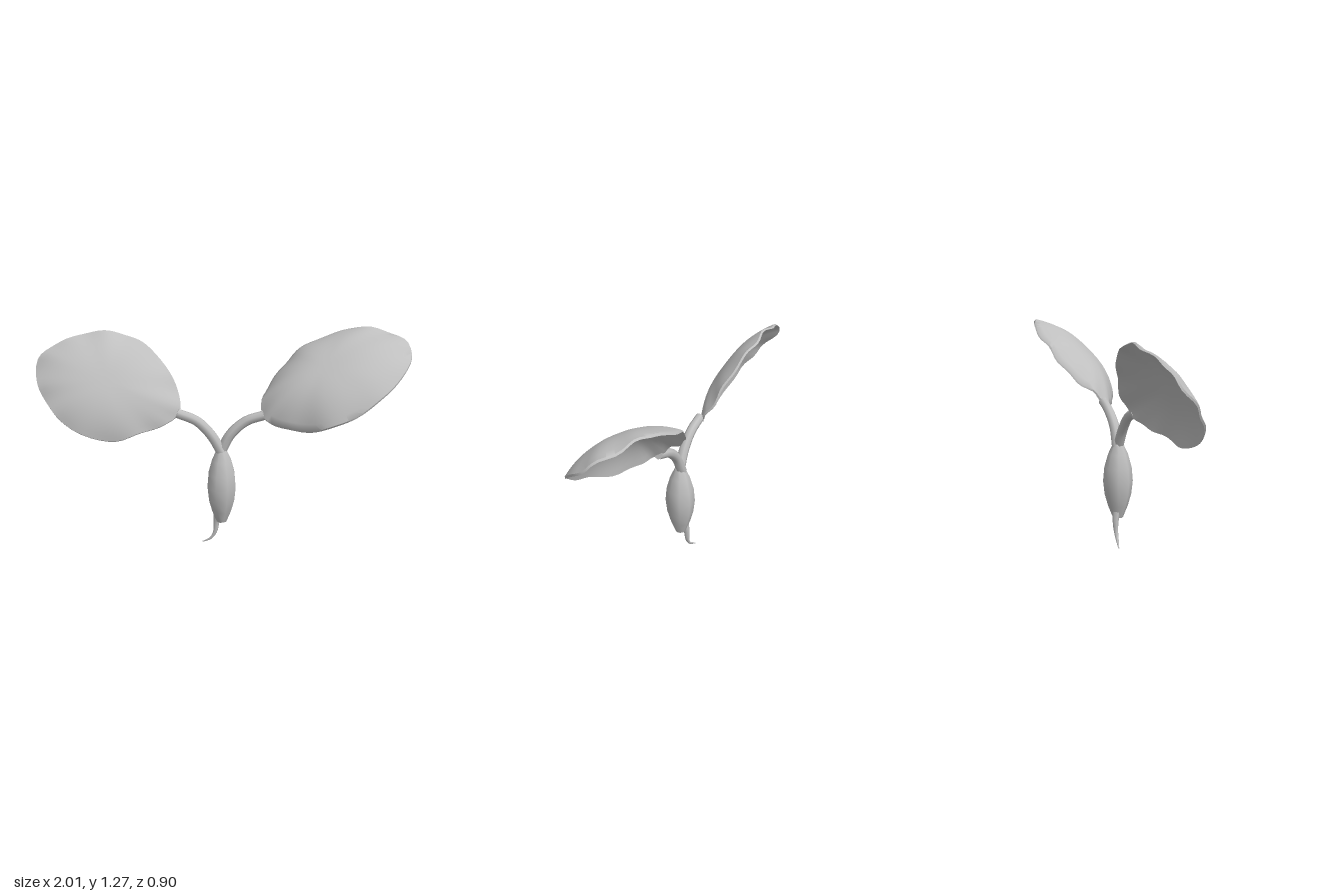
import * as THREE from 'three';
import { toCreasedNormals } from 'three/addons/utils/BufferGeometryUtils.js';

const V = (p) => new THREE.Vector3(...p);

// Tube along a curve whose radius changes evenly from r0 to r1
function taperedTube(points, r0, r1, sides) {
  const steps = 16;
  const curve = new THREE.CatmullRomCurve3(points.map(V));
  const geo = new THREE.TubeGeometry(curve, steps, 1, sides, false);
  const pos = geo.attributes.position;
  const v = new THREE.Vector3();
  for (let i = 0; i < pos.count; i++) {
    const t = Math.floor(i / (sides + 1)) / steps;
    const c = curve.getPointAt(t);
    v.fromBufferAttribute(pos, i).sub(c).multiplyScalar(THREE.MathUtils.lerp(r0, r1, t)).add(c);
    pos.setXYZ(i, v.x, v.y, v.z);
  }
  return { geo, curve };
}

// Thin domed blade with a ruffled edge; the outline runs counter-clockwise seen from the front
function leafGeometry(outline, dome, thickness) {
  const N = 64, R = 12;
  const edge = new THREE.CatmullRomCurve3(outline.map(V), true).getPoints(N).slice(0, N);
  const centre = edge.reduce((s, p) => s.add(p), new THREE.Vector3()).divideScalar(N);
  const n = new THREE.Vector3();
  edge.forEach((p, i) => {
    const a = p.clone().sub(centre), b = edge[(i + 1) % N].clone().sub(centre);
    n.add(a.cross(b));
  });
  n.normalize();
  // split the edge into its flat part and its height off the leaf plane
  const height = edge.map((p) => p.clone().sub(centre).dot(n));
  const flat = edge.map((p, i) => p.clone().addScaledVector(n, -height[i]));

  const pos = [], idx = [];
  for (const drop of [0, thickness]) {
    for (let j = 0; j <= R; j++) {
      const r = j / R;
      for (let i = 0; i < N; i++) {
        const a = (i / N) * Math.PI * 2;
        const ruffle = 0.006 * Math.sin(11 * a + Math.sin(2 * a)) * r ** 6;
        const lift = dome * (1 - r ** 2.6) + height[i] * r ** 3 + ruffle - drop;
        const p = centre.clone().lerp(flat[i], r).addScaledVector(n, lift);
        pos.push(p.x, p.y, p.z);
      }
    }
  }
  const at = (side, j, i) => (side * (R + 1) + j) * N + (i % N);
  for (let i = 0; i < N; i++) {
    for (let j = 0; j < R; j++) {
      for (const s of [0, 1]) {
        const a = at(s, j, i), b = at(s, j + 1, i), c = at(s, j + 1, i + 1), d = at(s, j, i + 1);
        const tris = j === 0 ? [[a, b, c]] : [[a, b, c], [a, c, d]];
        tris.forEach(([x, y, z]) => (s ? idx.push(x, z, y) : idx.push(x, y, z)));
      }
    }
    // rim joining the upper and lower skins
    const a = at(0, R, i), b = at(0, R, i + 1), c = at(1, R, i + 1), d = at(1, R, i);
    idx.push(a, d, c, a, c, b);
  }
  const geo = new THREE.BufferGeometry();
  geo.setAttribute('position', new THREE.Float32BufferAttribute(pos, 3));
  geo.setIndex(idx);
  return toCreasedNormals(geo, 0.9);
}

export function createModel() {
  const model = new THREE.Group();
  model.name = 'seedling';
  const grey = new THREE.MeshStandardMaterial({ color: 0xbfbfbf });
  grey.name = 'plain grey';
  const add = (name, geo) => {
    const mesh = new THREE.Mesh(geo, grey);
    mesh.name = name;
    model.add(mesh);
    return mesh;
  };

  // Swollen seed body
  const profile = [[0.03, 0.16], [0.058, 0.23], [0.078, 0.3], [0.087, 0.38],
    [0.08, 0.46], [0.058, 0.54], [0.03, 0.6]].map(([r, y]) => new THREE.Vector2(r, y));
  add('seedBody', new THREE.LatheGeometry(profile, 8)).position.set(0.03, 0, 0.055);
  [[0.16, Math.PI / 2], [0.6, -Math.PI / 2]].forEach(([y, turn]) => {
    const cap = add('seedBodyEnd', new THREE.CircleGeometry(0.03, 8));
    cap.position.set(0.03, y, 0.055);
    cap.rotation.x = turn;
  });

  // Curled root
  add('root', taperedTube([[0, 0.2, 0.045], [-0.008, 0.14, 0.04], [-0.015, 0.08, 0.043],
    [-0.04, 0.035, 0.05], [-0.09, 0.005, 0.055]], 0.022, 0.003, 6).geo);

  // Arching stems, closed where they meet the leaves
  const stems = {
    leftStem: [[0.02, 0.58, 0.05], [0.075, 0.695, 0.035], [0.155, 0.775, 0.005], [0.255, 0.815, -0.025]],
    rightStem: [[0.035, 0.58, 0.055], [-0.025, 0.695, 0.08], [-0.1, 0.775, 0.105], [-0.205, 0.82, 0.14]],
  };
  for (const [name, path] of Object.entries(stems)) {
    const { geo, curve } = taperedTube(path, 0.03, 0.027, 8);
    add(name, geo);
    const cap = add(name + 'End', new THREE.CircleGeometry(0.027, 8));
    cap.position.copy(curve.getPoint(1));
    cap.lookAt(curve.getPoint(1).add(curve.getTangent(1)));
  }

  // Broad leaves
  add('rightLeaf', leafGeometry([
    [-0.2, 0.82, 0.12], [-0.235, 0.93, 0.06], [-0.32, 1.06, 0.04], [-0.45, 1.175, 0.035],
    [-0.56, 1.22, 0.055], [-0.67, 1.245, 0.1], [-0.8, 1.22, 0.15], [-0.92, 1.17, 0.23],
    [-1, 1.09, 0.29], [-0.95, 0.97, 0.385], [-0.87, 0.88, 0.425], [-0.78, 0.8, 0.445],
    [-0.65, 0.72, 0.42], [-0.48, 0.69, 0.36], [-0.36, 0.73, 0.28], [-0.26, 0.76, 0.19],
  ], 0.085, 0.012));
  add('leftLeaf', leafGeometry([
    [0.25, 0.81, -0.01], [0.33, 0.785, 0.025], [0.47, 0.77, 0.035], [0.62, 0.8, 0.05],
    [0.75, 0.86, 0.02], [0.87, 0.94, -0.06], [0.95, 1.03, -0.15], [1, 1.13, -0.31],
    [0.96, 1.21, -0.4], [0.82, 1.255, -0.445], [0.68, 1.27, -0.435], [0.56, 1.23, -0.43],
    [0.43, 1.18, -0.385], [0.34, 1.12, -0.33], [0.28, 1.04, -0.27], [0.23, 0.95, -0.18],
    [0.22, 0.88, -0.08],
  ], 0.115, 0.012));

  return model;
}
